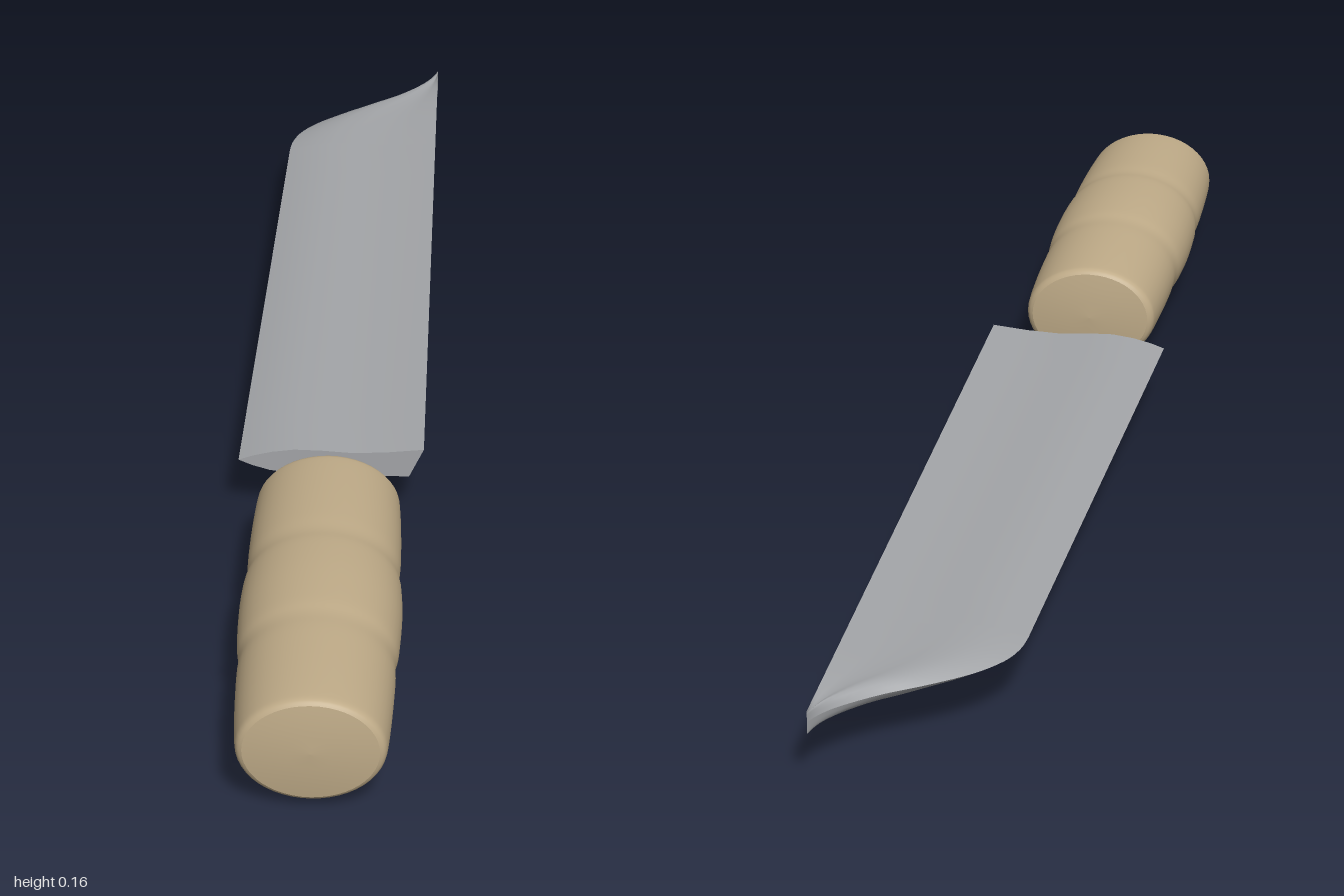
import * as THREE from 'three';

const MID_Y = 0.084;

// Surface through rows of points; column direction x row direction points outward
function gridGeometry(rows) {
  const n = rows[0].length, pos = rows.flat(2), index = [];
  for (let r = 0; r < rows.length - 1; r++) {
    for (let c = 0; c < n - 1; c++) {
      const a = r * n + c, b = a + 1, d = a + n, e = d + 1;
      index.push(a, b, d, b, e, d);
    }
  }
  const g = new THREE.BufferGeometry();
  g.setAttribute('position', new THREE.Float32BufferAttribute(pos, 3));
  g.setIndex(index);
  g.computeVertexNormals();
  return g;
}

// Oval solid of revolution along z from [radius, z] points
function ovalLathe(points, smooth) {
  let pts = points.map(([r, z]) => new THREE.Vector2(r, z));
  if (smooth) pts = new THREE.SplineCurve(pts).getPoints(60);
  const g = new THREE.LatheGeometry(pts, 48);
  g.rotateX(Math.PI / 2);
  g.scale(1, 0.775, 1);
  g.translate(0, MID_Y, 0);
  return g;
}

export function createModel() {
  const wood = new THREE.MeshStandardMaterial({ color: 0xbfab88 });
  wood.name = 'tan wood';
  const steel = new THREE.MeshStandardMaterial({ color: 0xa3a5a8 });
  steel.name = 'grey steel';

  const model = new THREE.Group();
  model.name = 'knife';
  const add = (parent, name, geometry, material) => {
    const mesh = new THREE.Mesh(geometry, material);
    mesh.name = name;
    parent.add(mesh);
  };

  // Handle: swelling grip with two shallow grooves and gently domed ends
  const handle = new THREE.Group();
  handle.name = 'handle';
  add(handle, 'grip', ovalLathe([
    [0.086, 0.372], [0.093, 0.378], [0.096, 0.395], [0.099, 0.47], [0.1, 0.54], [0.099, 0.58],
    [0.103, 0.615], [0.105, 0.68], [0.103, 0.755], [0.099, 0.79], [0.1, 0.83],
    [0.098, 0.91], [0.095, 0.97], [0.092, 0.988], [0.085, 0.994],
  ], true), wood);
  add(handle, 'frontCap', ovalLathe([[0.085, 0.994], [0.06, 0.997], [0.03, 0.999], [0, 1]]), wood);
  add(handle, 'backCap', ovalLathe([[0, 0.366], [0.03, 0.367], [0.06, 0.369], [0.086, 0.372]]), wood);
  model.add(handle);

  // Blade cross-section from cutting edge to spine: [fraction of width, top y, bottom y]
  const section = [
    [0, 0.085, 0.085], [0.08, 0.092, 0.077], [0.18, 0.098, 0.07], [0.3, 0.102, 0.066],
    [0.45, 0.101, 0.064], [0.62, 0.098, 0.064], [0.8, 0.1, 0.064], [1, 0.105, 0.063],
  ];

  // Cutting edge seen from above: [x, z], straight run then swept tip
  const tip = new THREE.SplineCurve([
    [-0.1, -0.72], [-0.096, -0.755], [-0.082, -0.793], [-0.05, -0.834], [0, -0.875],
    [0.05, -0.91], [0.095, -0.951], [0.115, -0.978], [0.125, -1],
  ].map(([x, z]) => new THREE.Vector2(x, z))).getPoints(32);
  const edge = [];
  for (let i = 0; i < 10; i++) {
    edge.push(new THREE.Vector2(-0.127 + 0.027 * i / 10, 0.265 - 0.985 * i / 10));
  }
  edge.push(...tip);

  const top = [], bottom = [], spine = [];
  for (const { x, y: z } of edge) {
    const t = (0.265 - z) / 1.265;
    const k = 1 - 0.25 * t;
    // lower spine corner is undercut at the heel and comes square at the tip
    const lowX = Math.max(x, 0.105 + 0.02 * t);
    const up = section.map(([u, a]) => [x + (0.125 - x) * u, MID_Y + (a - MID_Y) * k, z]);
    const low = section.map(([u, , b]) => [x + (lowX - x) * u, MID_Y + (b - MID_Y) * k, z]);
    top.push(up);
    bottom.push([...low].reverse());
    spine.push([up.at(-1), low.at(-1)]);
  }

  const blade = new THREE.Group();
  blade.name = 'blade';
  add(blade, 'bladeTop', gridGeometry(top), steel);
  add(blade, 'bladeUnderside', gridGeometry(bottom), steel);
  add(blade, 'bladeSpine', gridGeometry(spine), steel);
  add(blade, 'bladeHeel', gridGeometry([[...bottom[0]].reverse(), top[0]]), steel);
  model.add(blade);

  return model;
}
